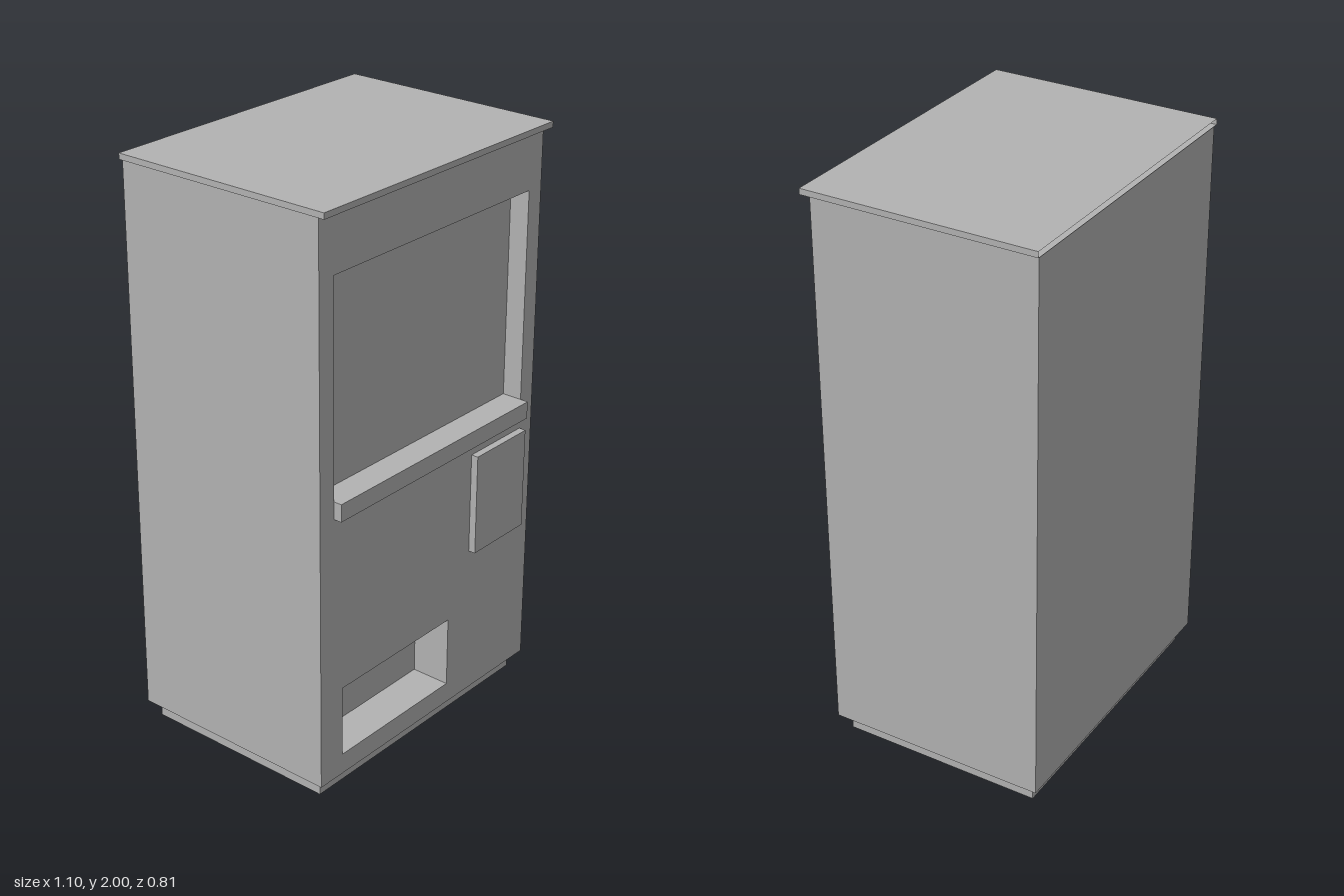
import * as THREE from 'three';

const grey = new THREE.MeshStandardMaterial({ color: 0xb2b2b2, side: THREE.DoubleSide });
grey.name = 'cabinet grey';

// Order of the side groups in a BoxGeometry
const SIDES = ['right', 'left', 'top', 'bottom', 'front', 'back'];

// Box between two corners, leaving out any sides listed in open
function box(name, [x0, y0, z0], [x1, y1, z1], open = []) {
  const geo = new THREE.BoxGeometry(x1 - x0, y1 - y0, z1 - z0);
  geo.translate((x0 + x1) / 2, (y0 + y1) / 2, (z0 + z1) / 2);
  const index = Array.from(geo.index.array);
  geo.setIndex(index.filter((_, i) => !open.includes(SIDES[Math.floor(i / 6)])));
  geo.clearGroups();
  const mesh = new THREE.Mesh(geo, grey);
  mesh.name = name;
  return mesh;
}

function rectangle(path, x0, y0, x1, y1) {
  path.moveTo(x0, y0);
  path.lineTo(x1, y0);
  path.lineTo(x1, y1);
  path.lineTo(x0, y1);
  path.closePath();
  return path;
}

export function createModel() {
  const group = new THREE.Group();
  group.name = 'vendingMachine';

  const W = 0.538, BASE = 0.06, TOP = 1.98, FRONT = 0.375, BACK = -0.4;
  const recesses = [
    { name: 'displayRecess', x0: -0.474, y0: 1.0, x1: 0.474, y1: 1.785, depth: 0.07 },
    { name: 'deliveryRecess', x0: -0.434, y0: 0.133, x1: 0.108, y1: 0.382, depth: 0.138 },
  ];

  // Hollow cabinet, open underneath
  group.add(box('cabinet', [-W, BASE, BACK], [W, TOP, FRONT], ['bottom', 'front']));

  // Front panel with openings, each backed by a recessed tray
  const panel = rectangle(new THREE.Shape(), -W, BASE, W, TOP);
  for (const { name, x0, y0, x1, y1, depth } of recesses) {
    panel.holes.push(rectangle(new THREE.Path(), x0, y0, x1, y1));
    group.add(box(name, [x0, y0, FRONT - depth], [x1, y1, FRONT], ['front']));
  }
  const front = new THREE.Mesh(new THREE.ShapeGeometry(panel), grey);
  front.name = 'frontPanel';
  front.position.z = FRONT;
  group.add(front);

  // Ledge along the bottom of the display, and the payment panel
  group.add(box('displayLedge', [-0.474, 1.0, 0.305], [0.474, 1.06, 0.404]));
  group.add(box('paymentPanel', [0.212, 0.6, FRONT], [0.474, 0.955, 0.4], ['back']));

  // Thin roof cap, open at the back
  group.add(box('roof', [-0.548, TOP, -0.404], [0.548, 2, 0.404], ['back']));

  // Inset plinth made of four walls
  group.add(box('plinth', [-0.505, 0, -0.37], [0.505, 0.06, 0.34], ['top', 'bottom']));

  return group;
}
